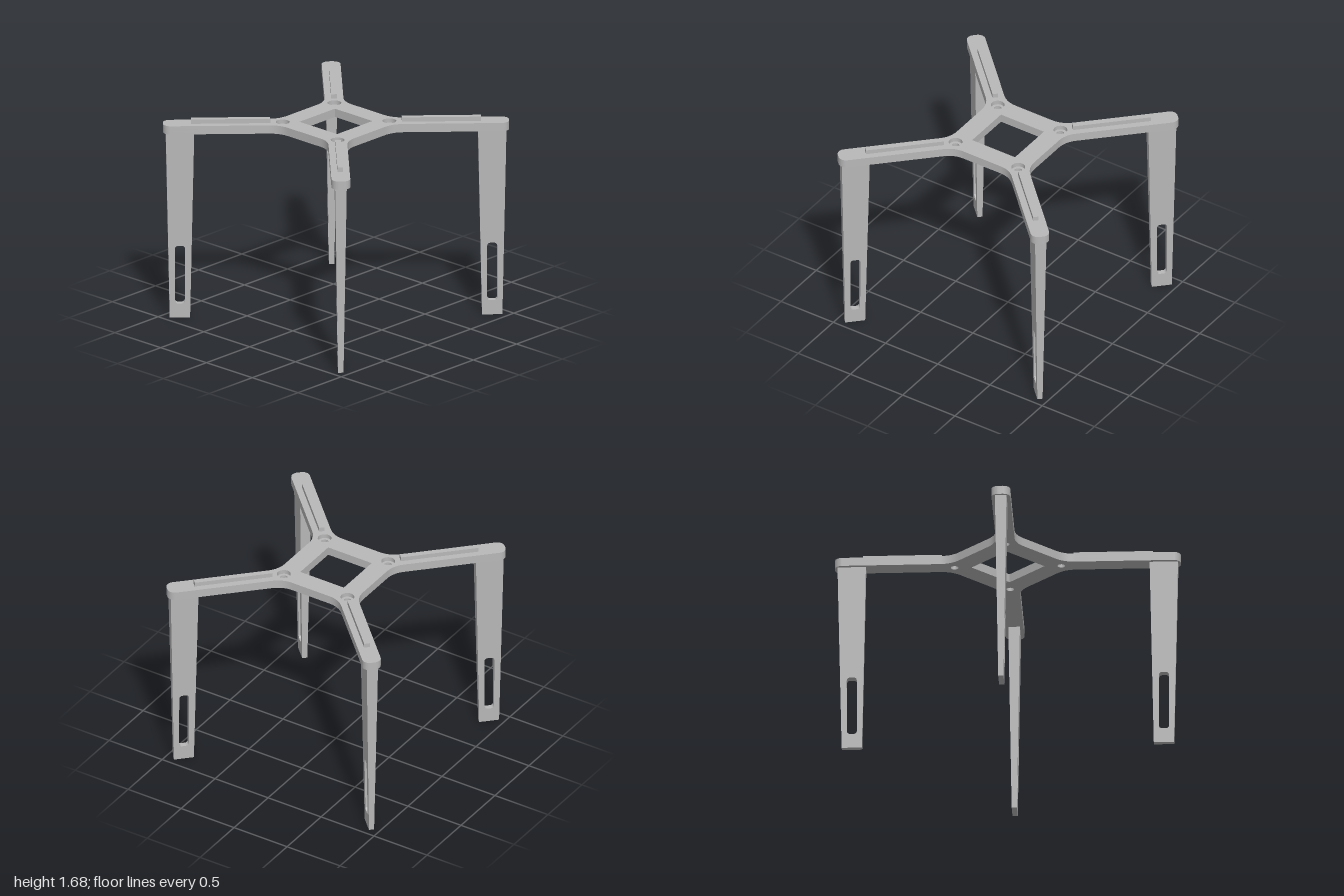
import * as THREE from 'three';
import { toCreasedNormals } from 'three/addons/utils/BufferGeometryUtils.js';

const PLATE_BOTTOM = 1.57, PLATE_TOP = 1.64, LEDGE = 1.605;
const ARM_HALF = 0.075, ARM_END = 1.375, TIP_R = 0.06;
const HUB = 0.37, WINDOW = 0.205, HOLE_POS = 0.3;

// Cross-shaped outline: square hub with filleted diagonal arms
function frameShape(holeRadius) {
  const s = new THREE.Shape();
  const diag = (u, v, k) => {
    const a = Math.PI / 4 + k * Math.PI / 2;
    return [u * Math.cos(a) - v * Math.sin(a), u * Math.sin(a) + v * Math.cos(a)];
  };
  const turn = (x, y, k) => diag((x + y) * Math.SQRT1_2, (y - x) * Math.SQRT1_2, k);
  const corner = HUB - ARM_HALF * Math.SQRT2; // where hub edge meets arm edge
  const L = 0.09, d = L * Math.SQRT1_2;
  for (let k = 0; k < 4; k++) {
    const a = Math.PI / 4 + k * Math.PI / 2;
    const start = turn(HUB, corner - L, k);
    if (k === 0) s.moveTo(...start); else s.lineTo(...start);
    s.quadraticCurveTo(...turn(HUB, corner, k), ...turn(HUB + d, corner + d, k));
    for (const side of [-1, 1]) {
      const c = diag(ARM_END - TIP_R, side * (ARM_HALF - TIP_R), k);
      const from = side < 0 ? a - Math.PI / 2 : a;
      s.absarc(c[0], c[1], TIP_R, from, from + Math.PI / 2, false);
    }
    s.lineTo(...turn(corner + d, HUB + d, k));
    s.quadraticCurveTo(...turn(corner, HUB, k), ...turn(corner - L, HUB, k));
  }
  s.closePath();

  // Centre window and four screw holes
  const w = WINDOW;
  s.holes.push(new THREE.Path([[-w, -w], [-w, w], [w, w], [w, -w]].map(p => new THREE.Vector2(...p))));
  for (const x of [-1, 1]) for (const y of [-1, 1]) {
    s.holes.push(new THREE.Path().absarc(x * HOLE_POS, y * HOLE_POS, holeRadius, 0, Math.PI * 2, true));
  }
  return s;
}

function frameLayer(holeRadius, y0, y1) {
  const g = new THREE.ExtrudeGeometry(frameShape(holeRadius), { depth: y1 - y0, bevelEnabled: false, curveSegments: 12 });
  g.rotateX(-Math.PI / 2).translate(0, y0, 0);
  return toCreasedNormals(g, 0.6);
}

// Radial leg blade, tapered in width and thickness, with a rounded slot
function legGeometry() {
  const s = new THREE.Shape();
  s.moveTo(1.16, 0);
  s.lineTo(1.322, 0);
  s.lineTo(1.354, PLATE_BOTTOM);
  s.lineTo(1.128, PLATE_BOTTOM);
  s.closePath();

  const u = 1.241, h = 0.04, r = 0.025, y0 = 0.12, y1 = 0.61;
  const slot = new THREE.Path();
  slot.absarc(u - h + r, y0 + r, r, -Math.PI / 2, -Math.PI, true);
  slot.absarc(u - h + r, y1 - r, r, Math.PI, Math.PI / 2, true);
  slot.absarc(u + h - r, y1 - r, r, Math.PI / 2, 0, true);
  slot.absarc(u + h - r, y0 + r, r, 0, -Math.PI / 2, true);
  slot.closePath();
  s.holes.push(slot);

  const g = new THREE.ExtrudeGeometry(s, { depth: 1, bevelEnabled: false, curveSegments: 5 });
  const p = g.attributes.position;
  for (let i = 0; i < p.count; i++) {
    const thickness = THREE.MathUtils.lerp(0.042, 0.092, p.getY(i) / PLATE_BOTTOM);
    p.setZ(i, (p.getZ(i) - 0.5) * thickness);
  }
  return toCreasedNormals(g, 0.6);
}

export function createModel() {
  const model = new THREE.Group();
  model.name = 'fourLegStand';
  const grey = new THREE.MeshStandardMaterial({ color: 0xb8b8b8 });
  grey.name = 'plain grey';

  const add = (parent, name, geometry) => {
    const m = new THREE.Mesh(geometry, grey);
    m.name = name;
    parent.add(m);
    return m;
  };

  // Frame in two layers: the wider upper holes form counterbores
  add(model, 'frameLower', frameLayer(0.031, PLATE_BOTTOM, LEDGE));
  add(model, 'frameUpper', frameLayer(0.055, LEDGE, PLATE_TOP));

  // One leg and one raised rib per arm
  const leg = legGeometry();
  const rib = new THREE.BoxGeometry(0.63, 0.045, 0.045);
  ['frontLeft', 'frontRight', 'backRight', 'backLeft'].forEach((name, k) => {
    const arm = new THREE.Group();
    arm.name = name + 'Arm';
    arm.rotation.y = -(Math.PI / 4 + k * Math.PI / 2);
    add(arm, name + 'Leg', leg);
    add(arm, name + 'Rib', rib).position.set(0.838, 1.6535, 0);
    model.add(arm);
  });
  return model;
}
